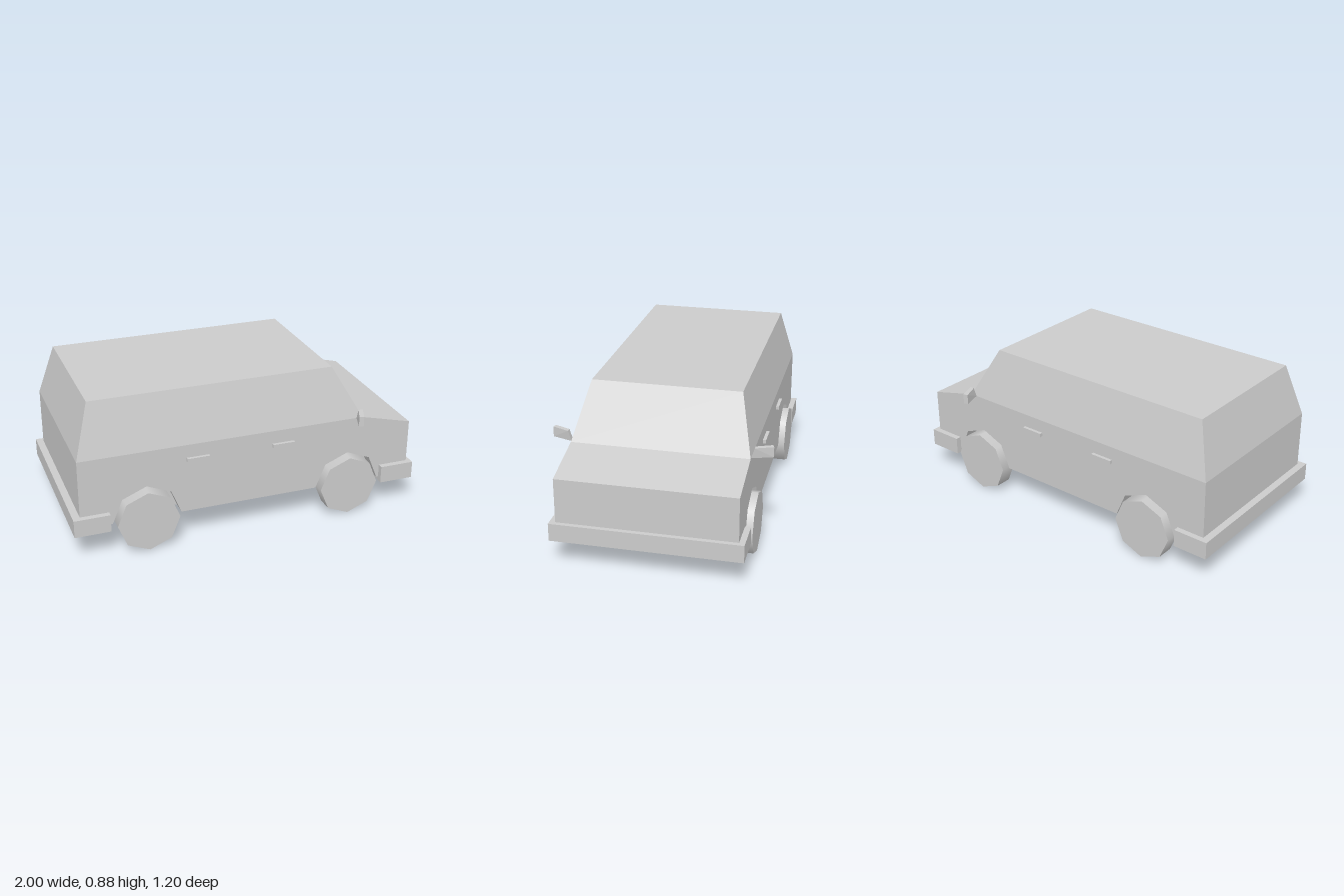
import * as THREE from 'three';
import { ConvexGeometry } from 'three/addons/geometries/ConvexGeometry.js';

const W = 0.485, WELL = 0.4, FLOOR = 0.18, BELT = 0.58;
const WHEEL_X = [-0.59, 0.595], WHEEL_R = 0.175, ARCH_R = 0.193;
const SIDES = [1, -1];

const grey = new THREE.MeshStandardMaterial({ color: 0xcccccc });
const flat = new THREE.MeshStandardMaterial({ color: 0xcccccc, flatShading: true, side: THREE.DoubleSide });

function add(parent, name, geometry, material, x = 0, y = 0, z = 0) {
  const mesh = new THREE.Mesh(geometry, material);
  mesh.name = name;
  mesh.position.set(x, y, z);
  parent.add(mesh);
}

// Collects flat faces into one geometry
class Faces {
  positions = [];

  quad(a, b, c, d) {
    this.positions.push(...a, ...b, ...c, ...a, ...c, ...d);
  }

  // Counter-clockwise 2D outline, placed in space by map
  polygon(outline, map, flip = false) {
    const points = outline.map(([u, v]) => new THREE.Vector2(u, v));
    for (const tri of THREE.ShapeUtils.triangulateShape(points, [])) {
      if (flip) tri.reverse();
      for (const i of tri) this.positions.push(...map(...outline[i]));
    }
  }

  // Strip across the car under one edge of the side profile
  strip(p, q, zHigh, zLow) {
    this.quad([...p, zHigh], [...p, zLow], [...q, zLow], [...q, zHigh]);
  }

  build() {
    const geometry = new THREE.BufferGeometry();
    geometry.setAttribute('position', new THREE.Float32BufferAttribute(this.positions, 3));
    geometry.computeVertexNormals();
    return geometry;
  }
}

// Upper half of an octagon, from rear to front
function archPoints(cx) {
  return [4, 3, 2, 1, 0].map((i) => [
    cx + ARCH_R * Math.cos((i * Math.PI) / 4),
    FLOOR + ARCH_R * Math.sin((i * Math.PI) / 4),
  ]);
}

function lowerBody() {
  const faces = new Faces();
  const arches = WHEEL_X.map(archPoints);
  const upper = [[0.975, FLOOR], [0.975, 0.505], [0.675, BELT], [-0.96, BELT], [-0.96, FLOOR]];
  const profile = [upper[4], ...arches.flat(), ...upper.slice(0, 4)];

  // Nose, bonnet and tail (the cabin covers the third edge)
  for (const i of [0, 1, 3]) faces.strip(upper[i], upper[i + 1], W, -W);

  // Sides, wheel wells
  for (const s of SIDES) {
    faces.polygon(profile, (x, y) => [x, y, s * W], s < 0);
    for (const arch of arches) {
      faces.polygon([...arch].reverse(), (x, y) => [x, y, s * WELL], s < 0);
      for (let i = 0; i < 4; i++) {
        faces.strip(arch[i], arch[i + 1], s > 0 ? W : -WELL, s > 0 ? WELL : -W);
      }
    }
  }

  // Underside with notches for the wells
  const notches = WHEEL_X.flatMap((x) => [
    [x - ARCH_R, W], [x - ARCH_R, WELL], [x + ARCH_R, WELL], [x + ARCH_R, W],
  ]);
  const farEdge = [[-0.96, W], ...notches, [0.975, W]];
  const nearEdge = farEdge.map(([x, z]) => [x, -z]);
  faces.polygon([...nearEdge, ...farEdge.reverse()], (x, z) => [x, FLOOR, z]);
  return faces.build();
}

function cabin() {
  const faces = new Faces();
  const ring = (x0, x1, y, z) => [[x0, y, z], [x1, y, z], [x1, y, -z], [x0, y, -z]];
  const base = ring(-0.96, 0.675, BELT, W);
  const roof = ring(-0.875, 0.505, 0.88, 0.41);
  for (let i = 0; i < 4; i++) {
    const j = (i + 1) % 4;
    faces.quad(base[i], base[j], roof[j], roof[i]);
  }
  faces.quad(...roof);
  return faces.build();
}

// Swept-back mirror block with its inner end leaning outwards at the top
function mirror(s) {
  const points = [];
  for (const [y, inner] of [[0.58, 0.485], [0.637, 0.503]]) {
    for (const [x, z] of [[0.6, 0.59], [0.625, 0.598], [0.663, inner], [0.637, inner]]) {
      points.push(new THREE.Vector3(x, y, s * z));
    }
  }
  return new ConvexGeometry(points);
}

export function createModel() {
  const car = new THREE.Group();
  car.name = 'van';

  add(car, 'lowerBody', lowerBody(), flat);
  add(car, 'cabin', cabin(), flat);

  // Bumpers
  const bumper = new THREE.BoxGeometry(0.2, 0.1, 1.034);
  add(car, 'frontBumper', bumper, grey, 0.9, 0.205, 0);
  add(car, 'rearBumper', bumper, grey, -0.9, 0.205, 0);

  // Wheels and axles
  const wheel = new THREE.CylinderGeometry(WHEEL_R, WHEEL_R, 0.095, 8).rotateX(Math.PI / 2);
  const axle = new THREE.CylinderGeometry(0.045, 0.045, 0.86, 24).rotateX(Math.PI / 2);
  WHEEL_X.forEach((x, i) => {
    const end = ['rear', 'front'][i];
    add(car, end + 'Axle', axle, grey, x, WHEEL_R, 0);
    for (const s of SIDES) {
      add(car, end + (s > 0 ? 'WheelNear' : 'WheelFar'), wheel, grey, x, WHEEL_R, s * 0.4725);
    }
  });

  // Door handles and wing mirrors
  const handle = new THREE.BoxGeometry(0.128, 0.021, 0.03);
  for (const s of SIDES) {
    for (const x of [-0.3, 0.195]) add(car, 'doorHandle', handle, grey, x, 0.494, s * 0.488);
    add(car, 'wingMirror', mirror(s), grey);
  }
  return car;
}
